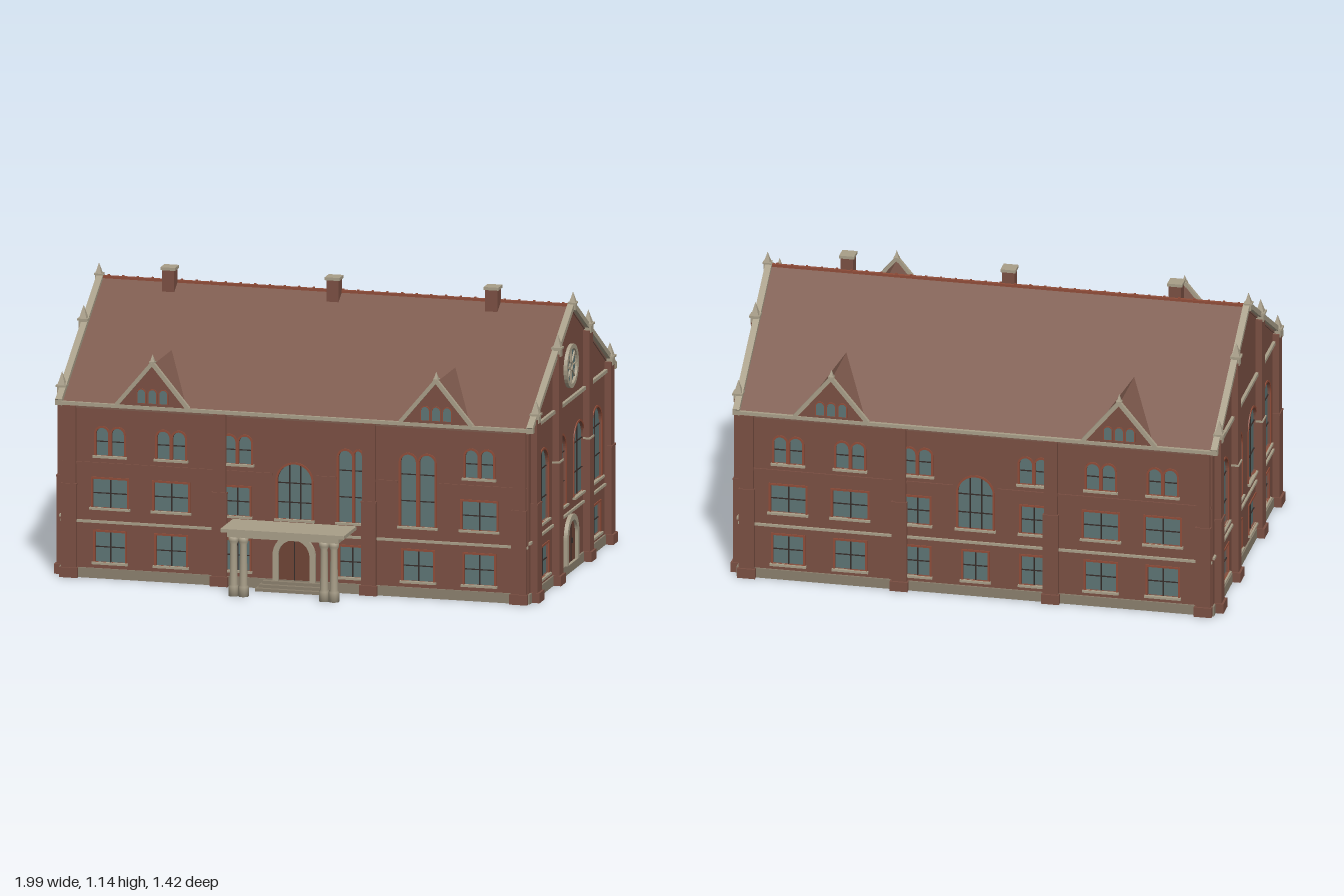
import * as THREE from 'three';

const mat = (name, color, side = THREE.FrontSide) => {
  const m = new THREE.MeshStandardMaterial({ color, side });
  m.name = name;
  return m;
};
const brick = mat('brick', 0x7a4f42, THREE.DoubleSide);
const roofTile = mat('roofTile', 0x7c594c, THREE.DoubleSide);
const stone = mat('stone', 0xa89e88);
const plinthStone = mat('plinthStone', 0x8a7f6d);
const trim = mat('redTrim', 0x8f4c38);
const glass = mat('glass', 0x5d7474, THREE.DoubleSide);
const dark = mat('darkFrame', 0x352c29);
const wood = mat('doorWood', 0x6e4335);

const ZC = -0.08, HX = 0.955, HZ = 0.605, EAVE = 0.7, RIDGE = 1.076;
const SLOPE = (RIDGE - EAVE) / HZ;

function add(parent, name, geo, material, x = 0, y = 0, z = 0) {
  const m = new THREE.Mesh(geo, material);
  m.name = name;
  m.position.set(x, y, z);
  parent.add(m);
  return m;
}
const box = (p, name, material, w, h, d, x, y, z) =>
  add(p, name, new THREE.BoxGeometry(w, h, d), material, x, y, z);
const extrude = (shape, depth) =>
  new THREE.ExtrudeGeometry(shape, { depth, bevelEnabled: false, curveSegments: 14 });

// Rectangle or round-headed opening, standing at (u, y)
function opening(Type, u, y, w, h, arched) {
  const s = new Type(), r = w / 2;
  s.moveTo(u - r, y);
  s.lineTo(u + r, y);
  if (arched) {
    s.lineTo(u + r, y + h - r);
    s.absarc(u, y + h - r, r, 0, Math.PI, false);
  } else {
    s.lineTo(u + r, y + h);
    s.lineTo(u - r, y + h);
  }
  s.closePath();
  return s;
}

// Raised border around an opening
function border(p, name, material, u, y, w, h, arched, t, depth, z) {
  const s = opening(THREE.Shape, u, y, w + 2 * t, h + t, arched);
  s.holes.push(opening(THREE.Path, u, y + 0.0005, w, h - 0.0005, arched));
  add(p, name, extrude(s, depth), material, 0, 0, z);
}

// Straight bar between two points of a facade
function bar(p, name, material, a, b, t, d, z) {
  const dx = b[0] - a[0], dy = b[1] - a[1];
  const m = box(p, name, material, Math.hypot(dx, dy), t, d, (a[0] + b[0]) / 2, (a[1] + b[1]) / 2, z);
  m.rotation.z = Math.atan2(dy, dx);
}

function finial(p, x, y, z, s = 1) {
  const g = new THREE.Group();
  g.name = 'finial';
  g.position.set(x, y, z);
  g.scale.setScalar(s);
  p.add(g);
  box(g, 'finialBase', stone, 0.032, 0.03, 0.032, 0, 0.015, 0);
  box(g, 'finialCap', stone, 0.042, 0.008, 0.042, 0, 0.034, 0);
  const cone = new THREE.ConeGeometry(0.022, 0.054, 4).rotateY(Math.PI / 4).toNonIndexed();
  cone.computeVertexNormals();
  add(g, 'finialSpire', cone, stone, 0, 0.064, 0);
}

// Window: glass, trim, glazing bars and sill
function windowUnit(p, [u, y, w, h, arched, cols = 2, rows = [0.5]]) {
  add(p, 'windowGlass', new THREE.ShapeGeometry(opening(THREE.Shape, u, y, w, h, arched), 14), glass, 0, 0, -0.01);
  border(p, 'windowTrim', trim, u, y, w, h, arched, 0.008, 0.006, -0.002);
  for (let i = 1; i < cols; i++)
    box(p, 'glazingBar', dark, 0.005, h, 0.004, u - w / 2 + (w * i) / cols, y + h / 2, -0.007);
  for (const r of rows) box(p, 'glazingBar', dark, w, 0.004, 0.004, u, y + h * r, -0.007);
  box(p, 'windowSill', stone, w + 0.025, 0.009, 0.014, u, y - 0.004, 0.005);
}

function door(p, y, r, h, front) {
  add(p, 'door', extrude(opening(THREE.Shape, 0, y, r * 2, h, true), 0.004), wood, 0, 0, 0);
  border(p, 'doorSurround', stone, 0, y, r * 2, h, true, 0.023, 0.016, 0);
  box(p, 'doorSeam', dark, 0.004, h - 0.005, 0.003, 0, y + h / 2, 0.005);
  if (!front) box(p, 'doorHandle', dark, 0.006, 0.02, 0.006, 0.012, y + 0.085, 0.007);
}

// Pilaster with wide base and a step partway up
function pilaster(p, u, top, step, out, cap) {
  box(p, 'pilasterBase', brick, 0.072, 0.04, out + 0.012, u, 0.02, (out + 0.012) / 2);
  box(p, 'pilasterLower', brick, 0.061, step - 0.04, out + 0.003, u, (step + 0.04) / 2, (out + 0.003) / 2);
  box(p, 'pilasterUpper', brick, 0.053, top - step, out, u, (top + step) / 2, out / 2);
  box(p, 'pilasterStep', cap, 0.063, 0.007, out + 0.005, u, step, (out + 0.005) / 2);
}

function facade(root, name, half, gabled, x, z, turn, units) {
  const g = new THREE.Group();
  g.name = name;
  g.position.set(x, 0, z);
  g.rotation.y = turn;
  root.add(g);
  const s = new THREE.Shape();
  s.moveTo(-half, 0);
  s.lineTo(half, 0);
  s.lineTo(half, EAVE);
  if (gabled) s.lineTo(0, RIDGE - 0.004);
  s.lineTo(-half, EAVE);
  s.closePath();
  for (const [u, y, w, h, a] of units) s.holes.push(opening(THREE.Path, u, y, w, h, a));
  add(g, 'wall', extrude(s, 0.02), brick, 0, 0, -0.02);
  units.forEach(w => windowUnit(g, w));
  box(g, 'plinth', plinthStone, half * 2 + 0.012, 0.04, 0.008, 0, 0.02, 0.003);
  box(g, 'stringCourse', stone, half * 2, 0.01, 0.009, 0, gabled ? 0.243 : 0.228, 0.004);
  box(g, 'cornice', stone, half * 2 + 0.01, 0.014, 0.014, 0, 0.7, 0.005);
  return g;
}

// Gabled dormer with three small lights
function dormer(p, u) {
  const g = new THREE.Group();
  g.name = 'dormer';
  g.position.x = u;
  p.add(g);
  const w = 0.142, top = 0.874;
  const tri = new THREE.Shape([[-w, EAVE], [w, EAVE], [0, top]].map(q => new THREE.Vector2(...q)));
  add(g, 'dormerGable', extrude(tri, 0.01), brick, 0, 0, -0.004);
  const geo = new THREE.BufferGeometry();
  geo.setAttribute('position', new THREE.Float32BufferAttribute([
    0, top, 0.006, w, EAVE, 0.006, 0, top, -0.275,
    0, top, 0.006, 0, top, -0.275, -w, EAVE, 0.006], 3));
  geo.computeVertexNormals();
  add(g, 'dormerRoof', geo, roofTile);
  for (const k of [-1, 1]) bar(g, 'dormerCoping', stone, [k * 0.147, 0.706], [0, 0.882], 0.016, 0.016, 0.008);
  for (const k of [-1, 0, 1]) {
    const a = opening(THREE.Shape, k * 0.045, 0.718, 0.032, 0.055, true);
    add(g, 'dormerLight', extrude(a, 0.002), glass, 0, 0, 0.006);
    border(g, 'dormerLightTrim', trim, k * 0.045, 0.718, 0.032, 0.055, true, 0.004, 0.004, 0.006);
  }
  finial(g, 0, 0.868, 0.004, 0.55);
}

// Round window with eight spokes
function roseWindow(p) {
  const g = new THREE.Group();
  g.name = 'roseWindow';
  g.position.set(0, 0.832, 0);
  p.add(g);
  add(g, 'roseGlass', new THREE.CircleGeometry(0.075, 32), glass, 0, 0, 0.003);
  const ring = new THREE.Shape().absarc(0, 0, 0.088, 0, Math.PI * 2);
  ring.holes.push(new THREE.Path().absarc(0, 0, 0.07, 0, Math.PI * 2));
  add(g, 'roseRing', extrude(ring, 0.014), stone);
  add(g, 'roseHub', new THREE.TorusGeometry(0.018, 0.004, 6, 20), stone, 0, 0, 0.006);
  for (let i = 0; i < 8; i++) {
    const a = (i * Math.PI) / 4, c = Math.cos(a), t = Math.sin(a);
    bar(g, 'roseSpoke', stone, [c * 0.018, t * 0.018], [c * 0.073, t * 0.073], 0.005, 0.006, 0.006);
  }
}

export function createModel() {
  const root = new THREE.Group();
  root.name = 'brickHall';

  // Window layouts: [u, y, width, height, arched, columns, bar heights]
  const pair = u => [-1, 1].map(k => [u + k * 0.032, 0.495, 0.05, 0.112, true, 1]);
  const mid = u => [u, 0.285, u * u < 0.1 ? 0.1 : 0.14, 0.115, false, 2];
  const low = u => [u, 0.065, u * u < 0.1 ? 0.1 : 0.122, 0.122, false, 2];
  const tall = (u, w) => [u, 0.285, w, 0.29, true, 1, [0.35, 0.72]];
  const centre = [0, 0.285, 0.14, 0.222, true, 3, [0.3, 0.65]];
  const bays = [-0.755, -0.505, -0.235, 0.235, 0.505, 0.755];
  const plain = [-0.755, -0.505, -0.235, 0.755];

  const front = facade(root, 'frontFacade', HX, false, 0, ZC + HZ, 0, [
    ...plain.flatMap(pair), ...plain.map(mid), ...bays.map(low), centre,
    tall(0.208, 0.055), tall(0.26, 0.03), tall(0.465, 0.062), tall(0.542, 0.062)]);
  const back = facade(root, 'backFacade', HX, false, 0, ZC - HZ, Math.PI, [
    ...bays.flatMap(pair), ...bays.map(mid), ...bays.map(low), low(0), centre]);

  // Upper brick bands, broken where tall windows cross them
  const bands = [[front, [[-0.95, -0.09], [0.09, 0.17], [0.29, 0.42], [0.59, 0.95]]],
    [back, [[-0.95, -0.09], [0.09, 0.95]]]];
  for (const [f, spans] of bands) {
    for (const [a, b] of spans) box(f, 'brickBand', brick, b - a, 0.01, 0.008, (a + b) / 2, 0.462, 0.002);
    for (const u of [-0.92, -0.305, 0.305, 0.92]) pilaster(f, u, 0.692, 0.375, 0.014, brick);
    for (const u of [-0.58, 0.58]) dormer(f, u);
  }
  door(front, 0.035, 0.064, 0.168, true);

  // Gabled ends
  for (const k of [1, -1]) {
    const arches = [-0.392, -0.132, 0.132, 0.392].map(u => [u, 0.288, 0.146, 0.29, true, 2, [0.32, 0.73]]);
    const lower = (k > 0 ? [-0.378, 0.378] : [-0.378, -0.132, 0.132, 0.378]).map(low).map(w => [w[0], w[1], 0.13, ...w.slice(3)]);
    const end = facade(root, k > 0 ? 'leftGable' : 'rightGable', HZ, true, k * HX, ZC, (k * Math.PI) / 2, [...arches, ...lower]);
    for (const m of [-1, 1]) {
      pilaster(end, m * 0.542, 0.735, 0.395, 0.026, brick);
      pilaster(end, m * 0.225, 0.93, 0.497, 0.026, stone);
      bar(end, 'gableCoping', stone, [m * (HZ + 0.008), EAVE + 0.006], [0, RIDGE + 0.004], 0.02, 0.026, 0.008);
      box(end, 'kneeler', stone, 0.022, 0.025, 0.028, m * HZ, 0.703, 0.008);
      finial(end, m * 0.542, 0.72, 0.014);
      finial(end, m * 0.225, 0.92, 0.014);
    }
    finial(end, 0, 1.06, 0.014, 0.8);
    if (k > 0) {
      roseWindow(end);
      door(end, 0.04, 0.064, 0.17, false);
    }
  }

  // Main roof and ridge
  const e = HZ + 0.006, y0 = RIDGE - e * SLOPE;
  const chevron = new THREE.Shape([[-e, y0], [-e, y0 - 0.012], [0, RIDGE - 0.012], [e, y0 - 0.012], [e, y0], [0, RIDGE]]
    .map(q => new THREE.Vector2(...q)));
  add(root, 'roof', extrude(chevron, 1.92).rotateY(Math.PI / 2), roofTile, -0.96, 0, ZC);
  box(root, 'ridgeTiles', trim, 1.92, 0.012, 0.014, 0, RIDGE, ZC);
  for (let i = 0; i < 32; i++) box(root, 'ridgeCrest', trim, 0.008, 0.008, 0.008, -0.93 + i * 0.06, RIDGE + 0.007, ZC);

  // Chimneys
  for (const x of [-0.672, 0, 0.65]) {
    box(root, 'chimney', brick, 0.05, 0.1, 0.05, x, 1.083, -0.052);
    box(root, 'chimneyCap', stone, 0.06, 0.012, 0.06, x, 1.136, -0.052);
  }

  // Entrance portico: slab, paired columns and steps
  const portico = new THREE.Group();
  portico.name = 'portico';
  root.add(portico);
  box(portico, 'porticoRoof', stone, 0.505, 0.014, 0.185, 0, 0.265, 0.6175);
  box(portico, 'porticoBeam', stone, 0.455, 0.02, 0.178, 0, 0.248, 0.614);
  const profile = [[0, 0], [0.021, 0], [0.021, 0.04], [0.016, 0.046], [0.014, 0.21], [0.02, 0.222], [0.02, 0.239], [0, 0.239]]
    .map(q => new THREE.Vector2(...q));
  const column = new THREE.LatheGeometry(profile, 14);
  for (const x of [-0.205, -0.165, 0.165, 0.205]) add(portico, 'column', column, stone, x, 0, 0.686);
  for (let i = 0; i < 3; i++)
    box(portico, 'step', plinthStone, 0.29 - i * 0.02, 0.012, 0.065 - i * 0.018, 0, 0.006 + i * 0.012, 0.525 + (0.065 - i * 0.018) / 2);
  return root;
}
